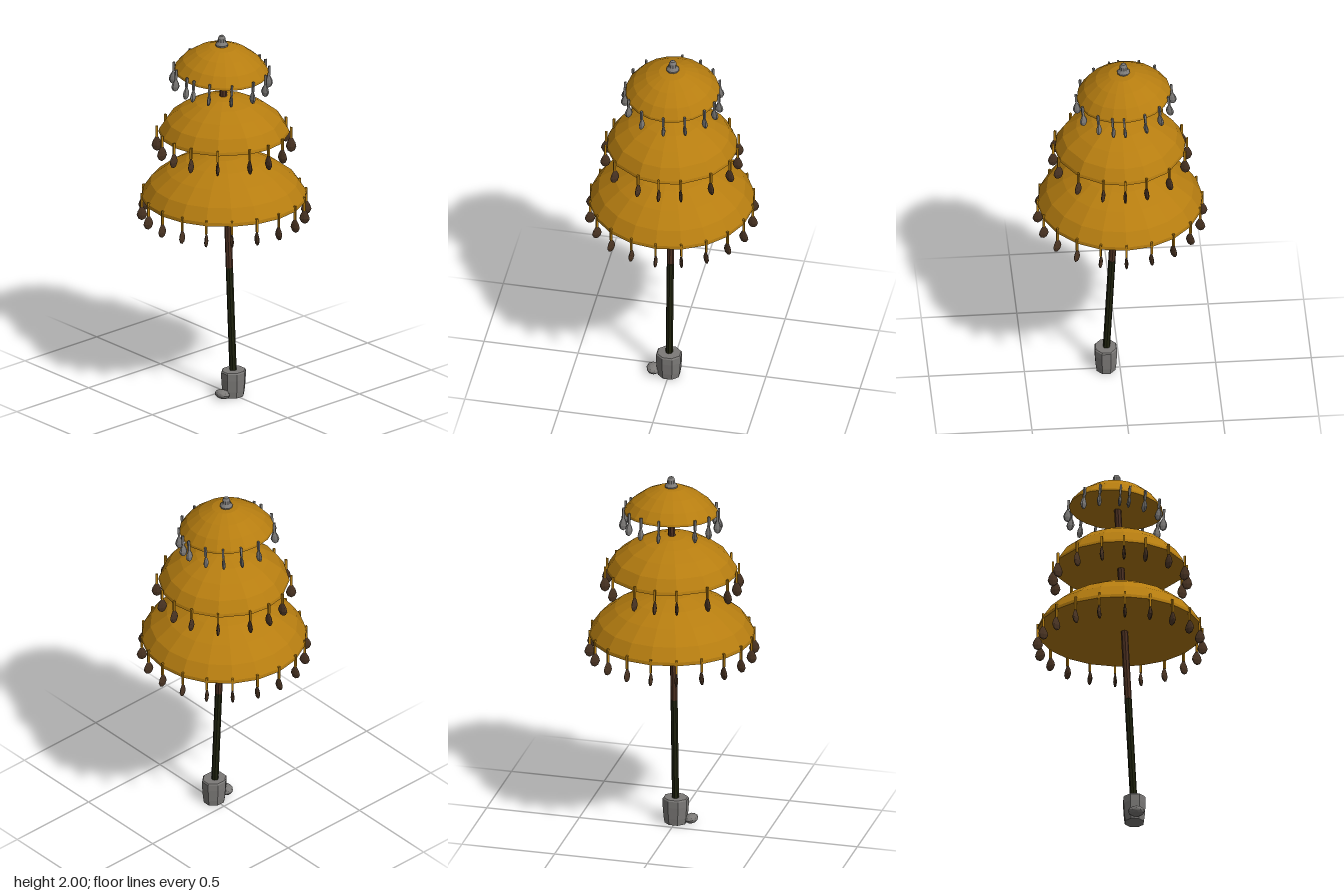
import * as THREE from 'three';

const mat = (name, color) => {
  const m = new THREE.MeshStandardMaterial({ color, flatShading: true });
  m.name = name;
  return m;
};

export function createModel() {
  const gold = mat('gold cloth', 0xb67d10);
  const stone = mat('grey stone', 0x7c7a78);
  const brown = mat('brown wood', 0x4d3122);
  const olive = mat('dark olive paint', 0x1f220e);
  const darkBrown = mat('tassel brown', 0x4a3423);

  const model = new THREE.Group();
  const add = (parent, name, geo, material, x = 0, y = 0, z = 0) => {
    const mesh = new THREE.Mesh(geo, material);
    mesh.name = name;
    mesh.position.set(x, y, z);
    parent.add(mesh);
    return mesh;
  };

  // Closed panelled dome: one flat panel between each pair of rib angles
  const domeGeometry = (profile, angles) => {
    const pos = [];
    const at = (k, i) => {
      const a = THREE.MathUtils.degToRad(angles[i % angles.length]);
      const [r, y] = profile[k];
      return [r * Math.cos(a), y, -r * Math.sin(a)];
    };
    for (let i = 0; i < angles.length; i++) {
      for (let k = 0; k < profile.length - 1; k++) {
        pos.push(...at(k, i), ...at(k, i + 1), ...at(k + 1, i + 1));
        if (profile[k + 1][0] > 0) pos.push(...at(k, i), ...at(k + 1, i + 1), ...at(k + 1, i));
      }
      pos.push(0, profile[0][1], 0, ...at(0, i + 1), ...at(0, i)); // flat underside
    }
    const geo = new THREE.BufferGeometry();
    geo.setAttribute('position', new THREE.Float32BufferAttribute(pos, 3));
    geo.computeVertexNormals();
    return geo;
  };

  // Flat teardrop bead, one unit high, hanging down from its origin
  const bead = new THREE.LatheGeometry(
    [[0, -1], [0.32, -0.88], [0.5, -0.6], [0.4, -0.32], [0.15, 0], [0, 0.02]]
      .map(([r, y]) => new THREE.Vector2(r, y)), 8);

  // Canopy with hanging tassels around the rim
  const canopy = (name, o) => {
    const group = new THREE.Group();
    group.name = name;
    group.position.set(o.x, o.y, 0);
    group.rotation.z = o.tilt || 0;
    add(group, name + 'Cloth', domeGeometry(o.profile, o.ribs), gold);
    for (const deg of o.tassels) {
      const tassel = new THREE.Group();
      tassel.name = 'tassel';
      tassel.rotation.y = THREE.MathUtils.degToRad(deg);
      add(tassel, 'tasselString', new THREE.BoxGeometry(0.012, o.string + 0.03, 0.01),
        o.stringMat, o.hang, 0.015 - o.string / 2, 0);
      add(tassel, 'tasselBead', bead, o.beadMat, o.hang, -o.string, 0)
        .scale.set(o.beadWidth, o.beadHeight, 0.02);
      group.add(tassel);
    }
    model.add(group);
  };

  const even = (n) => Array.from({ length: n }, (_, i) => (i * 360) / n);
  const midAngles = [];
  for (let q = 0; q < 4; q++) {
    for (const a of q % 2 ? [0, 19, 43, 71] : [0, 19, 47, 71]) midAngles.push(q * 90 + a);
  }

  canopy('lowerCanopy', {
    x: 0, y: 1.1, ribs: even(20), tassels: even(20),
    profile: [[0.432, 0], [0.43, 0.018], [0.385, 0.085], [0.3, 0.152], [0.2, 0.205], [0.1, 0.236], [0, 0.245]],
    hang: 0.43, string: 0.045, stringMat: gold, beadMat: darkBrown, beadWidth: 0.055, beadHeight: 0.075,
  });
  canopy('middleCanopy', {
    x: 0, y: 1.46, ribs: midAngles, tassels: midAngles,
    profile: [[0.342, 0], [0.338, 0.016], [0.3, 0.075], [0.23, 0.13], [0.15, 0.172], [0.07, 0.196], [0, 0.203]],
    hang: 0.35, string: 0.03, stringMat: gold, beadMat: darkBrown, beadWidth: 0.055, beadHeight: 0.08,
  });
  canopy('upperCanopy', {
    x: -0.02, y: 1.798, tilt: -0.075, ribs: even(20),
    tassels: [0, 26, 53, 72, 86, 112, 134, 156, 180, 225, 247, 272, 283, 304, 331],
    profile: [[0.247, 0], [0.244, 0.012], [0.205, 0.06], [0.14, 0.108], [0.07, 0.138], [0, 0.146]],
    hang: 0.25, string: 0.025, stringMat: stone, beadMat: stone, beadWidth: 0.045, beadHeight: 0.07,
  });

  // Finial on the very top
  const finial = [[0, -0.02], [0.032, -0.015], [0.034, 0.01], [0.022, 0.025], [0.02, 0.045], [0.012, 0.058], [0, 0.062]];
  add(model, 'finial', new THREE.LatheGeometry(finial.map(([r, y]) => new THREE.Vector2(r, y)), 10),
    stone, -0.018, 1.938, 0);

  // Leaning pole in two painted lengths
  const poleX = (y) => 0.078 - 0.05 * y;
  const pole = (name, y0, y1, material) => {
    const mesh = add(model, name, new THREE.CylinderGeometry(0.019, 0.019, y1 - y0, 8), material,
      poleX((y0 + y1) / 2), (y0 + y1) / 2, 0);
    mesh.rotation.z = Math.atan(0.05);
  };
  pole('lowerPole', 0.1, 0.71, olive);
  pole('upperPole', 0.71, 1.93, brown);

  // Stone foot block and the small rock in front of it
  const block = [[0, 0], [0.85, 0], [0.93, 0.035], [1, 0.1], [1, 0.135], [0.92, 0.142], [0, 0.142]];
  const blockGeo = new THREE.LatheGeometry(block.map(([r, y]) => new THREE.Vector2(r, y)), 8);
  blockGeo.rotateY(Math.PI / 8);
  add(model, 'footBlock', blockGeo, stone, 0.075, 0.003, 0).scale.set(0.062, 1, 0.07);
  const rock = add(model, 'footRock', new THREE.IcosahedronGeometry(1, 1), stone, 0.08, 0.031, 0.083);
  rock.scale.set(0.044, 0.025, 0.036);
  rock.rotation.x = -0.2;

  // Level the lowest point on the ground
  const box = new THREE.Box3().setFromObject(model, true);
  model.children.forEach((c) => { c.position.y -= box.min.y; });
  return model;
}
